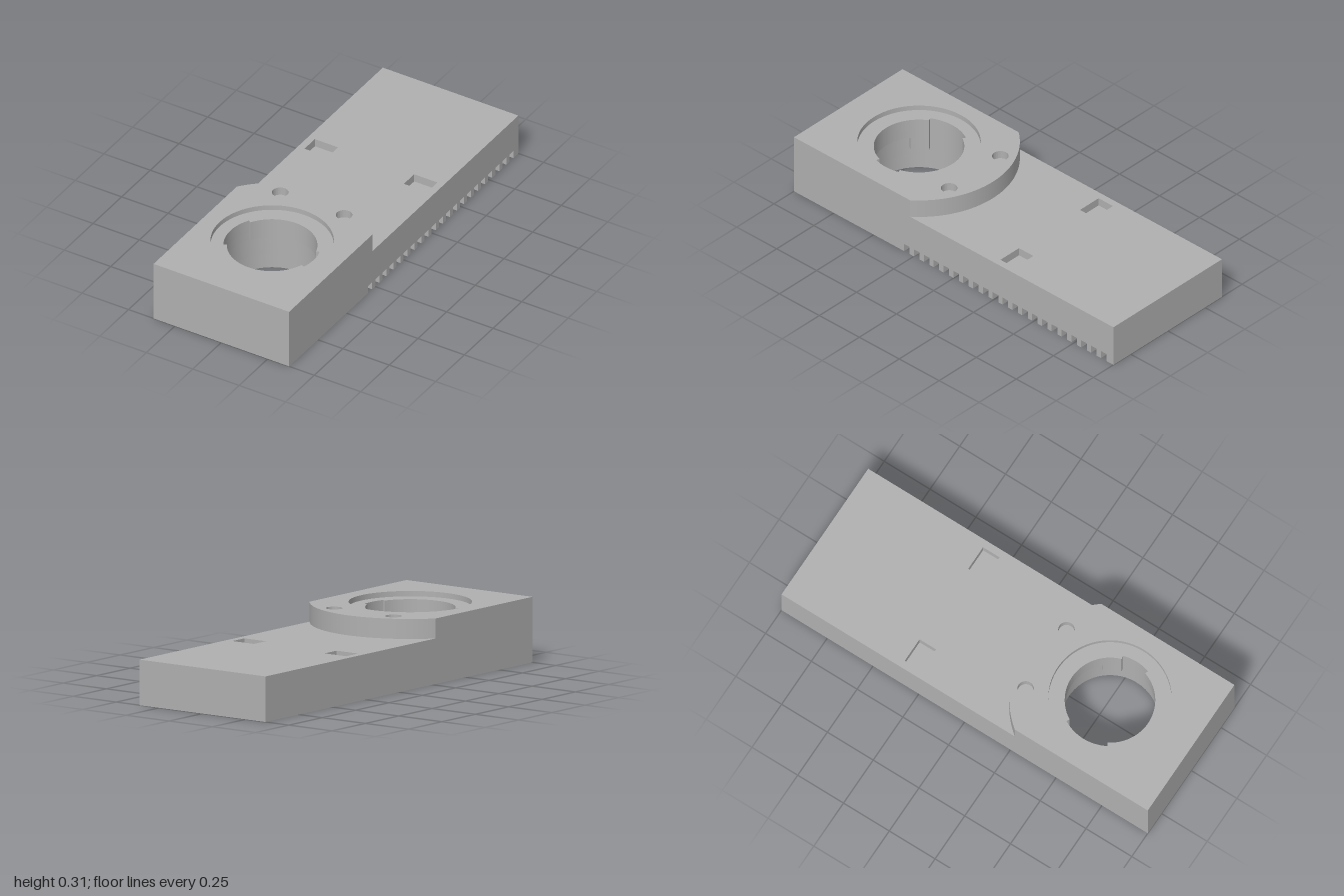
import * as THREE from 'three';
import { toCreasedNormals } from 'three/addons/utils/BufferGeometryUtils.js';

const W = 0.365, WALL = 0.06, CZ = 0.557;     // half width, wall, bore centre
const BORE = 0.224, LIP = 0.2075, RECESS = 0.283;
const CEILING = 0.075, DECK = 0.212, TOP = 0.305;

export function createModel() {
  const group = new THREE.Group();
  const grey = new THREE.MeshStandardMaterial({ color: 0xb0b0b0 });
  grey.name = 'grey plastic';

  // Shapes are drawn in plan (x, z) and extruded from y0 up to y1
  const slab = (name, shape, y0, y1) => {
    let geo = new THREE.ExtrudeGeometry(shape, { depth: y1 - y0, bevelEnabled: false, curveSegments: 64 });
    geo.rotateX(Math.PI / 2).translate(0, y1, 0);
    geo = toCreasedNormals(geo, 0.5);
    const mesh = new THREE.Mesh(geo, grey);
    mesh.name = name;
    group.add(mesh);
  };
  const polygon = (pts) => new THREE.Shape(pts.map(([x, z]) => new THREE.Vector2(x, z)));
  const rect = (x0, z0, x1, z1) => polygon([[x0, z0], [x1, z0], [x1, z1], [x0, z1]]);
  const circle = (x, z, r) => new THREE.Path().absarc(x, z, r, 0, Math.PI * 2, false);
  const withHoles = (shape, ...holes) => { shape.holes.push(...holes); return shape; };
  const arcBand = (r0, r1, a0, a1) => {
    const s = new THREE.Shape();
    s.absarc(0, CZ, r1, a0, a1, false);
    s.absarc(0, CZ, r0, a1, a0, true);
    s.closePath();
    return s;
  };
  const bore = () => circle(0, CZ, BORE);
  const plate = () => rect(-W, -1, W, 1);
  const inner = W - WALL, innerZ = 1 - WALL;

  // Hollow underside: notched lower rim, then the plain wall above the notches
  const pitch = 0.0616, notch = 0.035, count = 21, firstZ = 0.293, notchTop = 0.04;
  const zA = firstZ + notch / 2, zB = firstZ - (count - 1) * pitch - notch / 2;
  slab('lowerRim', polygon([
    [W, zA], [W, 1], [-W, 1], [-W, -1], [W, -1], [W, zB], [inner, zB],
    [inner, -innerZ], [-inner, -innerZ], [-inner, innerZ], [inner, innerZ], [inner, zA],
  ]), 0, notchTop);
  for (let i = 0; i < count - 1; i++) {
    const z = firstZ - i * pitch - notch / 2;
    slab('rimTooth', rect(inner, z - (pitch - notch), W, z), 0, notchTop);
  }
  slab('upperRim', withHoles(plate(), rect(-inner, -innerZ, inner, innerZ)), notchTop, CEILING);

  // Round collar hanging inside the hollow
  const collar = new THREE.Shape().absarc(0, CZ, 0.287, 0, Math.PI * 2, false);
  slab('collar', withHoles(collar, bore()), 0, CEILING);

  // Main plate with two blind rectangular pockets
  const pocketFloor = 0.172;
  slab('bodyPlate', withHoles(plate(), bore()), CEILING, pocketFloor);
  slab('deckPlate', withHoles(plate(), bore(),
    rect(0.205, -0.35, 0.33, -0.26), rect(-0.33, -0.35, -0.205, -0.26)), pocketFloor, DECK);

  // Raised end with rounded edge, pin holes and a stepped recess
  const raised = () => {
    const r = 0.462, a = Math.acos(W / r);
    const s = new THREE.Shape();
    s.moveTo(W, 1);
    s.lineTo(-W, 1);
    s.absarc(0, CZ, r, Math.PI + a, Math.PI * 2 - a, false);
    s.closePath();
    return s;
  };
  const pins = () => [-1, 1].map((s) => circle(s * 0.172, 0.208, 0.038));
  const pinFloor = 0.265, recessFloor = 0.28;
  slab('raisedBase', withHoles(raised(), bore()), DECK, pinFloor);
  slab('raisedMiddle', withHoles(raised(), bore(), ...pins()), pinFloor, recessFloor);
  slab('raisedTop', withHoles(raised(), circle(0, CZ, RECESS), ...pins()), recessFloor, TOP);

  // Bayonet lip with a narrow slot at +x and a wide one at -x, plus turn stops
  const rad = THREE.MathUtils.degToRad;
  const lipBottom = 0.18;
  slab('lipFront', arcBand(LIP, BORE + 0.001, rad(18), rad(150)), lipBottom, recessFloor);
  slab('lipBack', arcBand(LIP, BORE + 0.001, rad(210), rad(342)), lipBottom, recessFloor);
  slab('stopLeft', arcBand(LIP, BORE + 0.001, rad(318), rad(342)), 0.115, lipBottom);
  slab('stopRight', arcBand(LIP, BORE + 0.001, rad(126), rad(150)), 0.115, lipBottom);

  return group;
}
